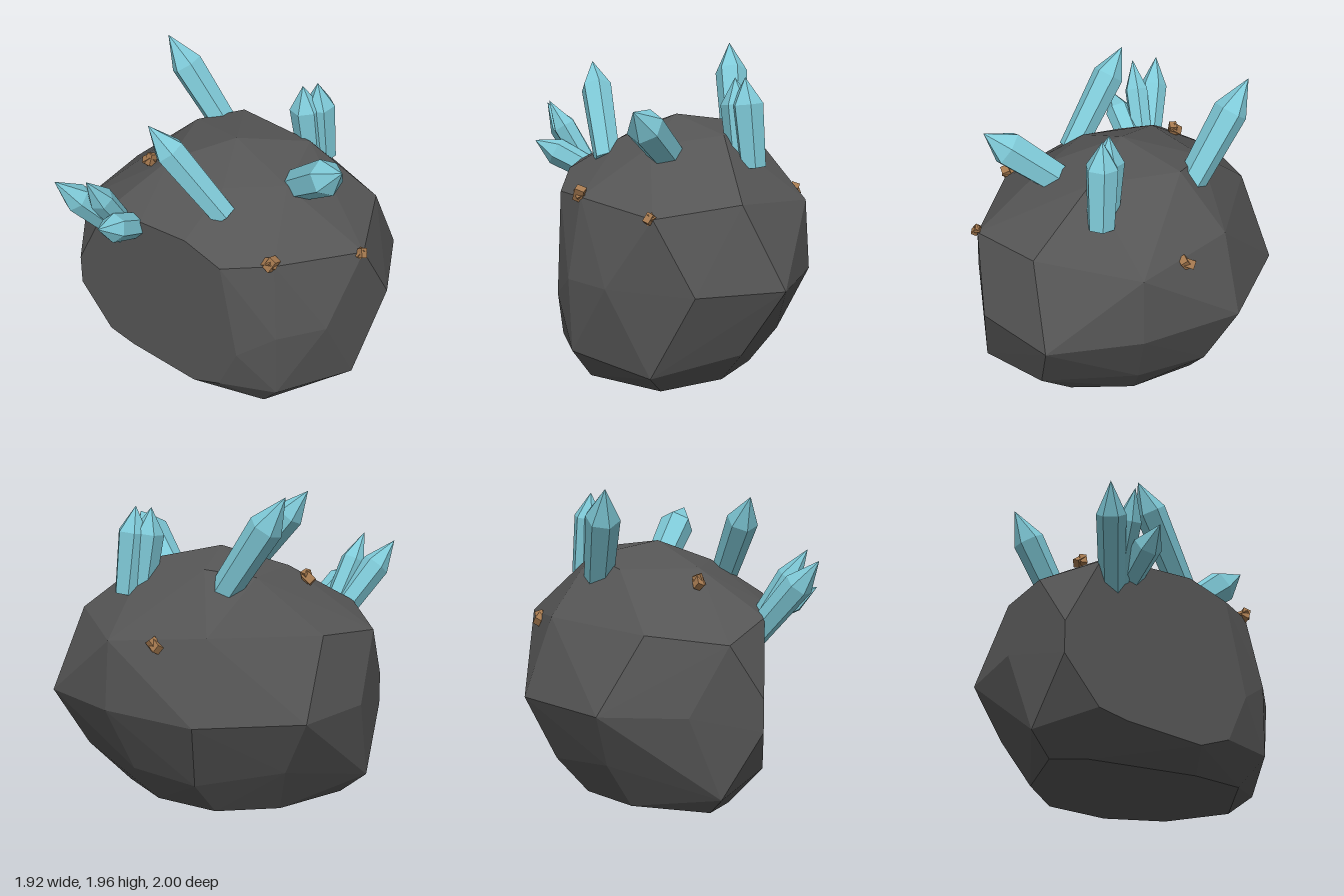
import * as THREE from 'three';
import { ConvexGeometry } from 'three/addons/geometries/ConvexGeometry.js';

const V = (x, y, z) => new THREE.Vector3(x, y, z);

const stone = new THREE.MeshStandardMaterial({ color: 0x555555, flatShading: true });
stone.name = 'darkStone';
const crystalBlue = new THREE.MeshStandardMaterial({ color: 0x7fcad8, flatShading: true });
crystalBlue.name = 'crystalBlue';
const oreBrown = new THREE.MeshStandardMaterial({ color: 0xa5794f, flatShading: true });
oreBrown.name = 'oreBrown';

// Faceted boulder: hull of a few rings plus one flat, upright front cut
function buildBoulder() {
  const rings = [
    // crown
    [0, 1.57, -0.1], [-0.48, 1.45, -0.2], [0.45, 1.43, -0.1], [0.25, 1.49, -0.5],
    [-0.3, 1.5, -0.45], [0.2, 1.43, 0.2], [-0.25, 1.44, 0.24],
    // shoulder
    [0.7, 1.14, 0.25], [0.92, 1.09, -0.3], [0.62, 1.15, -0.74], [0, 1.08, -0.95],
    [-0.55, 1.15, -0.62], [-0.81, 1.12, 0.05], [-0.72, 1.07, 0.54],
    // belly
    [0.92, 0.65, 0], [0.92, 0.65, -0.56], [0.59, 0.65, -1], [0, 0.65, -0.98],
    [-0.62, 0.65, -0.78], [-0.96, 0.65, -0.2], [-0.85, 0.65, 0.33], [0.78, 0.65, 0.3],
    // skirt
    [0.91, 0.13, -0.28], [0.78, 0.2, 0.28], [0.6, 0.24, -0.74], [0, 0.24, -0.78],
    [-0.45, 0.22, -0.64], [-0.77, 0.3, -0.2], [-0.73, 0.13, 0.5],
    // flat base
    [-0.6, 0, 0.4], [-0.38, 0, 0.46], [0.3, 0, 0.36], [0.62, 0, 0.23], [0.74, 0, -0.28],
    [0.4, 0, -0.55], [0, 0, -0.6], [-0.4, 0, -0.45], [-0.6, 0, -0.1],
  ].map((p) => V(...p));
  const frontCut = [
    [-0.38, 1.18], [-0.1, 1.22], [0.23, 1.22], [0.48, 1.12], [0.55, 0.72], [0.6, 0.5],
    [0.47, 0.2], [0.28, 0.13], [-0.2, 0.19], [-0.38, 0.24], [-0.6, 0.53], [-0.6, 0.73],
  ].map(([x, y]) => V(x, y, 0.59 - 0.22 * x));
  const mesh = new THREE.Mesh(new ConvexGeometry([...rings, ...frontCut]), stone);
  mesh.name = 'boulder';
  return mesh;
}

// Six-sided crystal running from a buried base to a pointed tip
function buildCrystal(name, base, tip, radius, point, spin = 0) {
  const from = V(...base);
  const axis = V(...tip).sub(from);
  const length = axis.length();
  const profile = [
    [0, 0], [radius * 0.85, 0], [radius, length - point], [0, length],
  ].map(([r, y]) => new THREE.Vector2(r, y));
  const geometry = new THREE.LatheGeometry(profile, 6);
  geometry.rotateY(spin);
  const mesh = new THREE.Mesh(geometry, crystalBlue);
  mesh.name = name;
  mesh.position.copy(from);
  mesh.quaternion.setFromUnitVectors(V(0, 1, 0), axis.normalize());
  return mesh;
}

// Ore nugget: two small tilted chunks
function buildNugget(name, position, size, turn) {
  const group = new THREE.Group();
  group.name = name;
  group.position.set(...position);
  for (let i = 0; i < 2; i++) {
    const chunk = new THREE.Mesh(new THREE.BoxGeometry(size, size * 0.7, size * 0.6), oreBrown);
    chunk.name = 'oreChunk';
    chunk.rotation.set(0.5 + i * 1.1, turn + i * 0.9, 0.4 - i * 0.8);
    chunk.position.set(size * 0.12 * (i ? 1 : -1), size * 0.1 * i, 0);
    group.add(chunk);
  }
  return group;
}

export function createModel() {
  const model = new THREE.Group();
  model.name = 'crystalBoulder';
  model.add(buildBoulder());

  // Single crystals, then the back pair and the front cluster
  const crystals = [
    ['rightBackCrystal', [-0.36, 1.33, -0.38], [-0.75, 1.96, -0.2], 0.105, 0.22, 0.2],
    ['leftCrystal', [0.36, 1.33, -0.21], [0.84, 1.69, -0.15], 0.115, 0.17, 0.4],
    ['frontCrystal', [0.27, 1.3, 0.26], [-0.1, 1.87, 0.52], 0.1, 0.2, 0.1],
    ['backCrystal', [0.18, 1.3, -0.59], [0.14, 1.83, -0.53], 0.1, 0.16, 0.3],
    ['backCrystal', [0.21, 1.3, -0.67], [0.19, 1.84, -0.61], 0.1, 0.16, 0],
    ['clusterCrystal', [-0.27, 0.98, 0.54], [-0.41, 1.54, 1], 0.09, 0.2, 0.2],
    ['clusterCrystal', [-0.26, 1.0, 0.54], [-0.23, 1.58, 0.9], 0.08, 0.2, 0],
    ['clusterCrystal', [-0.19, 1.1, 0.5], [-0.09, 1.33, 0.94], 0.09, 0.16, 0.5],
  ];
  for (const crystal of crystals) model.add(buildCrystal(...crystal));

  const nuggets = [
    ['frontLeftNugget', [0.68, 1.15, 0.26], 0.085, 0.3],
    ['leftNugget', [0.92, 1.09, -0.28], 0.06, 1.2],
    ['topNugget', [-0.4, 1.38, 0.27], 0.075, 0.7],
    ['backNugget', [-0.28, 1.08, -0.8], 0.075, 0.1],
  ];
  for (const nugget of nuggets) model.add(buildNugget(...nugget));
  return model;
}
